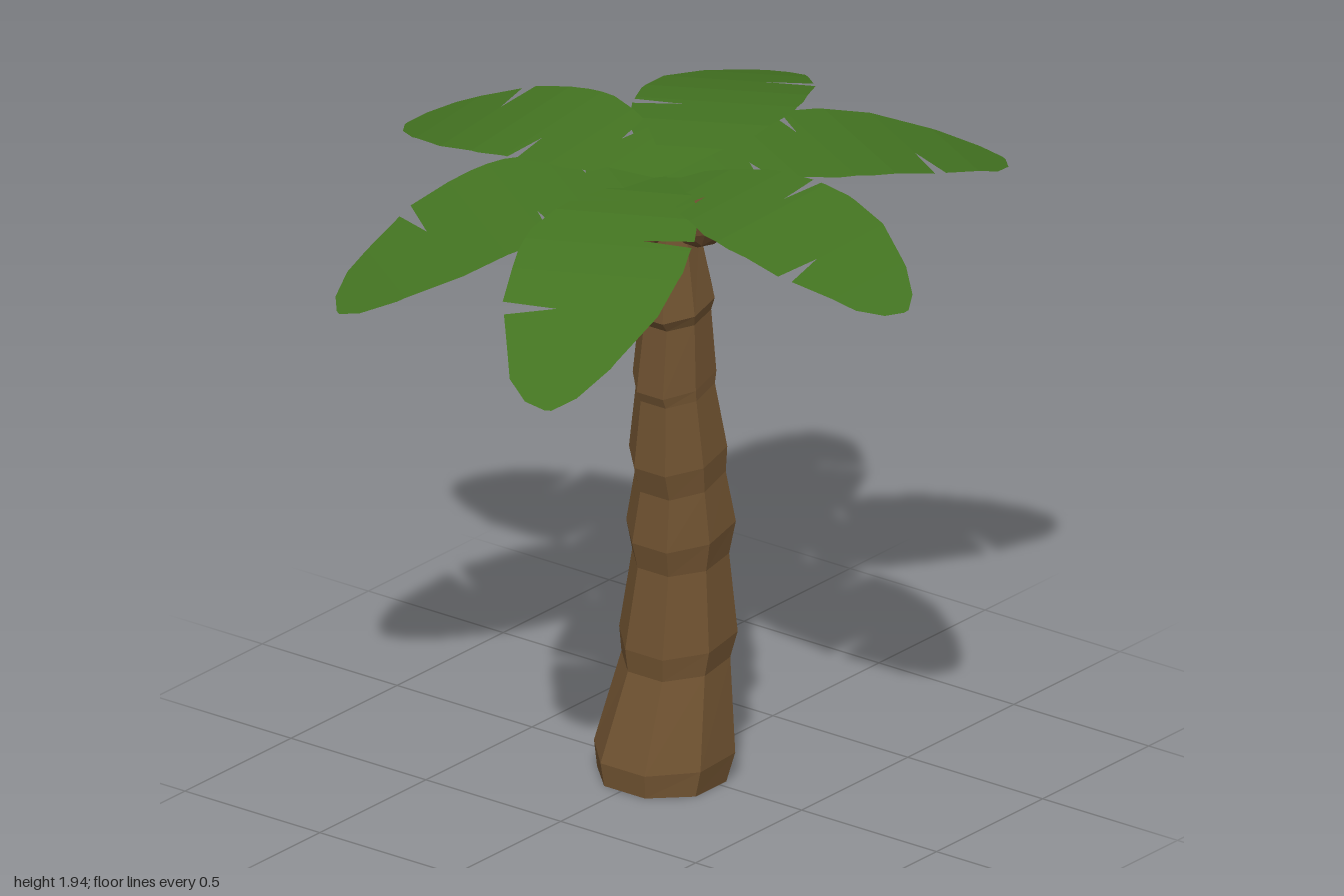
import * as THREE from 'three';

const bark = new THREE.MeshStandardMaterial({ color: 0x6e5130, flatShading: true });
bark.name = 'bark brown';
const shell = new THREE.MeshStandardMaterial({ color: 0x684a2d, flatShading: true });
shell.name = 'coconut brown';
const green = new THREE.MeshStandardMaterial({ color: 0x437321, flatShading: true, side: THREE.DoubleSide });
green.name = 'leaf green';

function toGeometry(positions, index) {
  const indexed = new THREE.BufferGeometry();
  indexed.setAttribute('position', new THREE.Float32BufferAttribute(positions, 3));
  indexed.setIndex(index);
  const g = indexed.toNonIndexed();
  g.computeVertexNormals();
  return g;
}

// Linear interpolation along a list of [u, value] points
function sample(points, u) {
  for (let i = 1; i < points.length; i++) {
    const [u0, v0] = points[i - 1], [u1, v1] = points[i];
    if (u <= u1) return v0 + (v1 - v0) * (u - u0) / (u1 - u0);
  }
  return points[points.length - 1][1];
}

// Eight-sided trunk: each ring is [front y, back y, x min, x max, z back, z front]
const RINGS = [
  [0, 0, -0.17, 0.195, -0.135, 0.215],
  [0.07, 0.09, -0.19, 0.205, -0.178, 0.218],
  [0.33, 0.38, -0.147, 0.162, -0.178, 0.112],
  [0.40, 0.46, -0.16, 0.173, -0.21, 0.117],
  [0.65, 0.70, -0.127, 0.147, -0.183, 0.078],
  [0.73, 0.81, -0.147, 0.162, -0.207, 0.092],
  [0.89, 0.97, -0.117, 0.142, -0.168, 0.073],
  [0.97, 1.05, -0.13, 0.147, -0.177, 0.092],
  [1.18, 1.25, -0.102, 0.122, -0.133, 0.077],
  [1.21, 1.29, -0.112, 0.122, -0.147, 0.087],
  [1.42, 1.48, -0.092, 0.112, -0.122, 0.067],
  [1.45, 1.52, -0.107, 0.122, -0.137, 0.09],
  [1.70, 1.72, -0.067, 0.082, -0.092, 0.052],
  [1.84, 1.85, -0.04, 0.05, -0.065, 0.03],
];

function trunkGeometry() {
  const N = 8, pos = [], idx = [], k = 1 / Math.cos(Math.PI / N);
  for (const [yf, yb, x0, x1, z0, z1] of RINGS) {
    for (let i = 0; i < N; i++) {
      const a = (i + 0.5) / N * Math.PI * 2;
      const s = Math.sin(a) * k, c = Math.cos(a) * k;
      pos.push((x0 + x1) / 2 + s * (x1 - x0) / 2,
        (yf + yb) / 2 + c * (yf - yb) / 2,
        (z0 + z1) / 2 + c * (z1 - z0) / 2);
    }
  }
  for (let j = 0; j < RINGS.length - 1; j++) {
    for (let i = 0; i < N; i++) {
      const a = j * N + i, b = j * N + (i + 1) % N;
      idx.push(a, b, b + N, a, b + N, a + N);
    }
  }
  const top = (RINGS.length - 1) * N;
  for (let i = 1; i < N - 1; i++) idx.push(0, i + 1, i, top, top + i, top + i + 1);
  return toGeometry(pos, idx);
}

// Leaf edges [distance from the crown, sideways offset], with torn notches
const RIGHT = [[0, 0.01], [0.1, 0.09], [0.2, 0.17], [0.22, 0.07], [0.24, 0.2], [0.4, 0.265], [0.5, 0.275],
  [0.69, 0.265], [0.7, 0.11], [0.73, 0.25], [0.92, 0.18], [0.98, 0.12], [1, 0.06]];
const LEFT = [[0, -0.03], [0.1, -0.09], [0.25, -0.165], [0.405, -0.195], [0.42, -0.05], [0.435, -0.195],
  [0.54, -0.2], [0.7, -0.175], [0.87, -0.09], [0.96, -0.02], [1, 0.04]];
const ARCH = [[0, 1.88], [0.15, 1.905], [0.3, 1.918], [0.45, 1.913], [0.57, 1.897], [0.7, 1.868], [0.85, 1.822], [1, 1.765]];

// droop bends the leaf down towards its tip, roll lifts its right edge
function leafGeometry({ angle, length, width, droop, roll, lift }) {
  const t = angle * Math.PI / 180, c = Math.cos(t), s = Math.sin(t);
  const us = [...new Set([...RIGHT, ...LEFT, ...ARCH].map(p => p[0]))].sort((a, b) => a - b);
  const arch = ARCH.map(([u, y]) => [u, y - droop * u ** 1.5 + lift]);
  const pos = [], idx = [];
  us.forEach((u, i) => {
    for (const edge of [LEFT, RIGHT]) {
      const v = sample(edge, u) * width, d = u * length;
      pos.push(0.005 + d * c - v * s, sample(arch, u) + roll * v, 0.01 + d * s + v * c);
    }
    if (i) {
      const a = 2 * i - 2;
      idx.push(a, a + 1, a + 3, a, a + 3, a + 2);
    }
  });
  return toGeometry(pos, idx);
}

const LEAVES = [
  { angle: 4.6, length: 1, width: 1, droop: 0, roll: -0.08, lift: -0.004 },
  { angle: 68.5, length: 1.02, width: 1.08, droop: 0.215, roll: -0.04, lift: 0 },
  { angle: 121.5, length: 1, width: 1.06, droop: 0.19, roll: 0.07, lift: -0.003 },
  { angle: 180, length: 1, width: 1, droop: 0, roll: 0.1, lift: 0 },
  { angle: 245, length: 1.065, width: 1.04, droop: -0.01, roll: 0.03, lift: 0.004 },
  { angle: 296.5, length: 1.065, width: 1.06, droop: 0, roll: -0.03, lift: 0.001 },
];

// Coconuts: [x, y, z, radius]
const COCONUTS = [
  [-0.02, 1.758, 0.14, 0.094],
  [-0.145, 1.775, -0.03, 0.1],
  [-0.045, 1.77, -0.175, 0.105],
  [0.085, 1.757, -0.045, 0.093],
];

export function createModel() {
  const model = new THREE.Group();
  model.name = 'palmTree';
  const add = (name, geometry, material) => {
    const mesh = new THREE.Mesh(geometry, material);
    mesh.name = name;
    model.add(mesh);
    return mesh;
  };

  add('trunk', trunkGeometry(), bark);
  LEAVES.forEach((leaf, i) => add('leaf' + (i + 1), leafGeometry(leaf), green));
  COCONUTS.forEach(([x, y, z, r], i) => {
    const nut = add('coconut' + (i + 1), new THREE.IcosahedronGeometry(r, 1), shell);
    nut.position.set(x, y, z);
    nut.rotation.set(i * 0.9, i * 1.7, 0.3);
  });
  return model;
}
